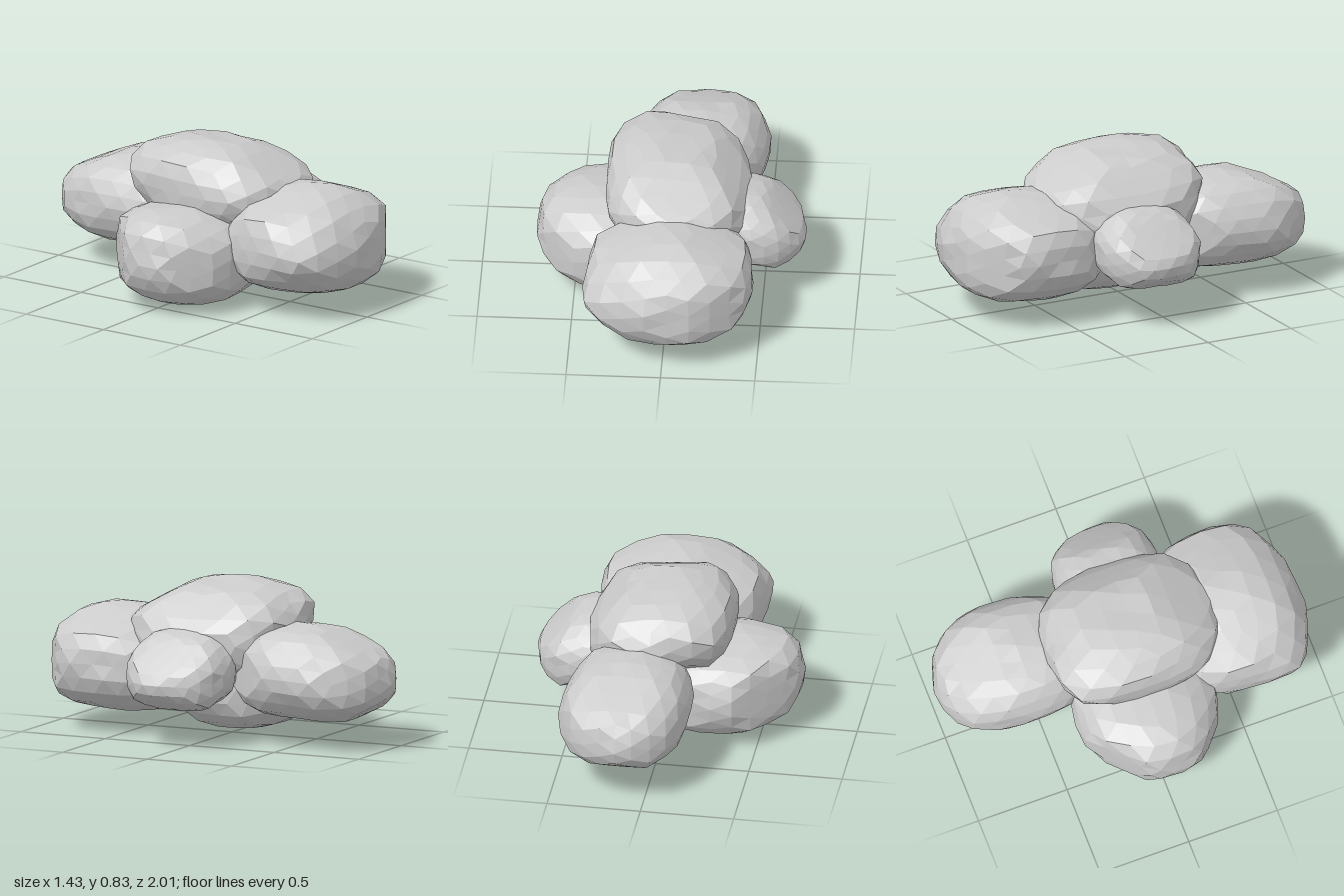
import * as THREE from 'three';

// Each boulder is a rounded block with a bulging corner (knob) and chipped faces
// (cuts: direction and distance, where 1 is the block's half size).
// lean = rise along x, lift = rise along z, bow = rise towards both z ends.
const boulders = [
  { name: 'frontBoulder', center: [0.03, 0.385, 0.6], half: [0.44, 0.285, 0.4],
    lean: 0, lift: 0.02, bow: -0.05, knob: [-0.9, -0.1, 0.55],
    cuts: [[0.5, 0.87, 0, 0.93], [-0.45, 0.89, 0, 0.93], [0.6, 0, 0.8, 0.98], [0, 0.7, -0.7, 0.86]] },
  { name: 'backBoulder', center: [0.14, 0.385, -0.55], half: [0.33, 0.25, 0.45],
    lean: 0, lift: 0.02, bow: -0.03, knob: [1, -0.1, -0.3],
    cuts: [[0, -0.6, -0.8, 0.98], [0, 0.85, -0.5, 0.92], [0.7, 0, 0.7, 0.94]] },
  { name: 'topBoulder', center: [0.045, 0.55, 0.05], half: [0.385, 0.27, 0.475],
    lean: -0.1, lift: -0.03, bow: 0.02, knob: [-0.7, 0.25, -0.7],
    cuts: [[0, 0.7, 0.7, 0.92], [0, -0.7, -0.7, 0.76], [0.75, 0.65, 0, 0.96]] },
  { name: 'rightBoulder', center: [-0.27, 0.265, 0.02], half: [0.43, 0.262, 0.38],
    lean: -0.05, lift: -0.03, bow: 0, knob: [-0.7, 0.7, 0.1],
    cuts: [[-0.7, 0, -0.7, 0.88], [-0.7, 0, 0.7, 0.99]] },
  { name: 'leftBoulder', center: [0.44, 0.4, 0.075], half: [0.265, 0.2, 0.285],
    lean: -0.2, lift: 0.03, bow: -0.02, knob: [1, 0, 0.1],
    cuts: [[0.7, 0.7, 0, 0.85], [0.7, -0.7, 0, 0.95]] },
];

const boxiness = 2.5;

// Swell a faceted sphere into a block, roughen it, chip it, then bend it
function boulderGeometry({ center, half, lean, lift, bow, knob, cuts }, seed) {
  const geometry = new THREE.IcosahedronGeometry(1, 3);
  const position = geometry.attributes.position;
  const bulge = new THREE.Vector3(...knob).normalize();
  const planes = cuts.map(([x, y, z, limit]) => ({ normal: new THREE.Vector3(x, y, z).normalize(), limit }));
  const d = new THREE.Vector3();
  for (let i = 0; i < position.count; i++) {
    d.fromBufferAttribute(position, i).normalize();
    const sum = Math.abs(d.x) ** boxiness + Math.abs(d.y) ** boxiness + Math.abs(d.z) ** boxiness;
    const bump = 0.04 * Math.sin(7 * d.x + seed) * Math.sin(6 * d.y + 2 * seed) * Math.sin(5 * d.z - seed);
    const corner = 0.1 * Math.max(0, d.dot(bulge)) ** 14;
    d.multiplyScalar(sum ** (-1 / boxiness) * (1 + bump + corner));
    for (const { normal, limit } of planes) {
      d.addScaledVector(normal, -0.9 * Math.max(0, d.dot(normal) - limit));
    }
    const x = d.x * half[0], y = d.y * half[1], z = d.z * half[2];
    position.setXYZ(i,
      center[0] + x,
      center[1] + y + lean * x + lift * z + bow * d.z * d.z,
      center[2] + z);
  }
  geometry.computeVertexNormals();
  return geometry;
}

export function createModel() {
  const group = new THREE.Group();
  group.name = 'rockPile';
  const stone = new THREE.MeshStandardMaterial({ color: 0xcccccc, flatShading: true });
  boulders.forEach((boulder, i) => {
    const mesh = new THREE.Mesh(boulderGeometry(boulder, 1.7 * i + 0.6), stone);
    mesh.name = boulder.name;
    group.add(mesh);
  });
  return group;
}
